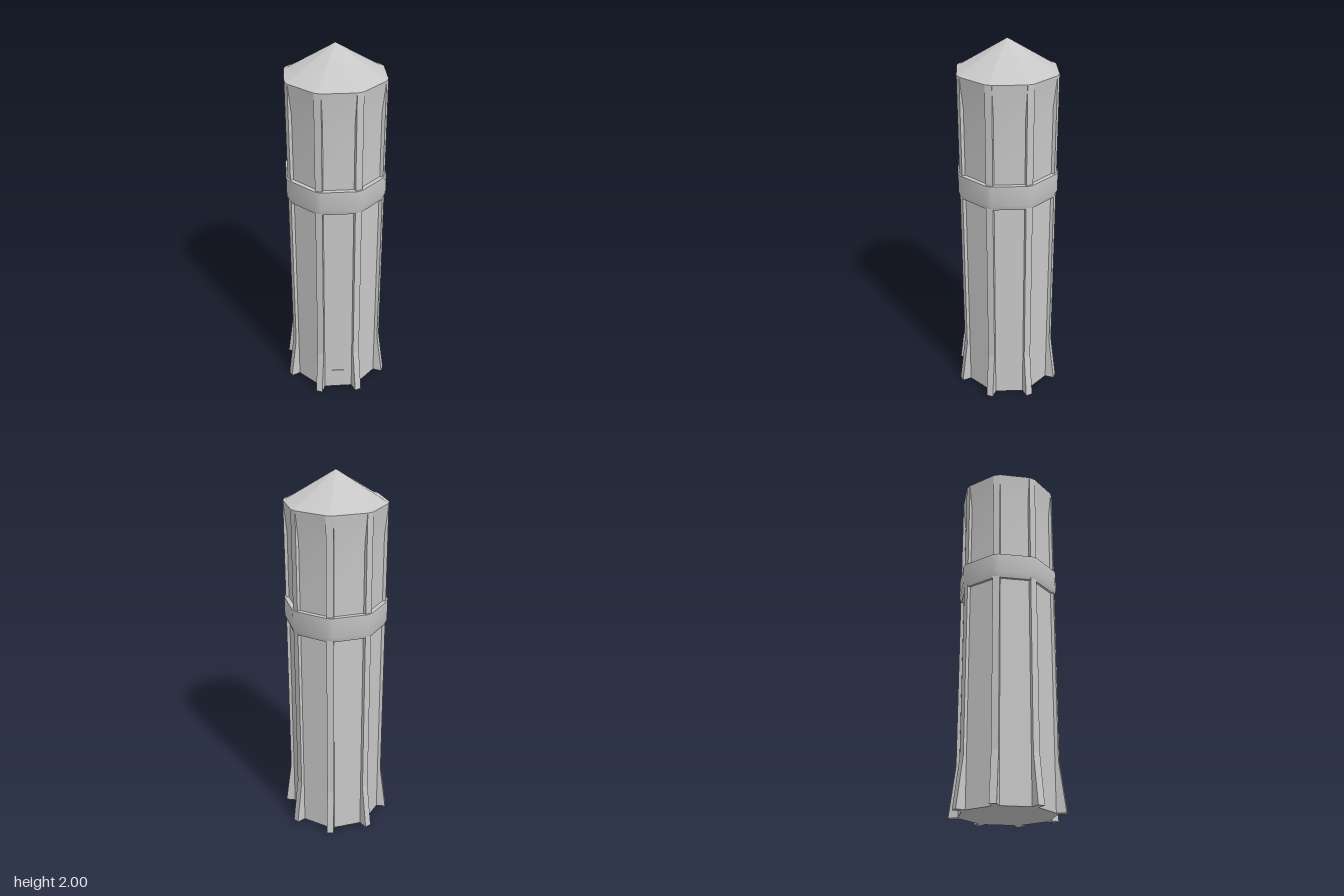
import * as THREE from 'three';
import { toCreasedNormals } from 'three/addons/utils/BufferGeometryUtils.js';

const SIDES = 8;
const STEP = (Math.PI * 2) / SIDES;
const FIN_WIDTH = 0.037;

// Octagon with cut corners: distance to the flats, half width of a flat, height
function ring(apothem, half, y) {
  const points = [];
  for (let i = 0; i < SIDES; i++) {
    const s = Math.sin(i * STEP), c = Math.cos(i * STEP);
    for (const w of [-half, half]) {
      points.push([apothem * s + w * c, y, apothem * c - w * s]);
    }
  }
  return points;
}

// Skin a stack of rings, listed from bottom to top
function loft(sections, crease) {
  const rings = sections.map((s) => ring(...s));
  const positions = [];
  for (let r = 0; r < rings.length - 1; r++) {
    const low = rings[r], high = rings[r + 1];
    for (let i = 0; i < low.length; i++) {
      const j = (i + 1) % low.length;
      positions.push(...low[i], ...low[j], ...high[j]);
      positions.push(...low[i], ...high[j], ...high[i]);
    }
  }
  const geometry = new THREE.BufferGeometry();
  geometry.setAttribute('position', new THREE.Float32BufferAttribute(positions, 3));
  return toCreasedNormals(geometry, crease);
}

export function createModel() {
  const tower = new THREE.Group();
  tower.name = 'tower';
  const concrete = new THREE.MeshStandardMaterial({ color: 0xc8c8c8 });
  concrete.name = 'concrete grey';

  const add = (name, geometry, parent = tower) => {
    const mesh = new THREE.Mesh(geometry, concrete);
    mesh.name = name;
    parent.add(mesh);
    return mesh;
  };

  // Straight shaft with a closed base
  add('shaft', loft([
    [0, 0, 0], [0.234, 0.088, 0], [0.234, 0.088, 1.25],
  ], 0.3));

  // Upper wall, flaring out until flush with the fins
  add('upperWall', loft([
    [0.234, 0.088, 1.25], [0.234, 0.088, 1.68], [0.25, 0.084, 1.843],
  ], 0.3));

  // Collar around the tower
  add('collar', loft([
    [0.225, 0.085, 1.19], [0.246, 0.086, 1.19], [0.257, 0.09, 1.22],
    [0.257, 0.09, 1.325], [0.225, 0.085, 1.325],
  ], 0.6));

  // Pointed roof with a narrow ledge
  add('roof', loft([
    [0.25, 0.084, 1.843], [0.234, 0.092, 1.845], [0, 0, 2],
  ], 0.7));

  // Corner fins with flared feet
  const profile = new THREE.Shape([
    [0.22, 0], [0.297, 0], [0.263, 0.26], [0.263, 1.842], [0.22, 1.842],
  ].map(([x, y]) => new THREE.Vector2(x, y)));
  const finGeometry = new THREE.ExtrudeGeometry(profile, { depth: FIN_WIDTH, bevelEnabled: false });
  finGeometry.translate(0, 0, -FIN_WIDTH / 2);
  const fins = new THREE.Group();
  fins.name = 'cornerFins';
  tower.add(fins);
  for (let i = 0; i < SIDES; i++) {
    add('cornerFin', finGeometry, fins).rotation.y = (i + 0.5) * STEP;
  }

  // Small door on the front
  const door = add('door', new THREE.BoxGeometry(0.07, 0.11, 0.008));
  door.position.set(0, 0.07, 0.234);

  return tower;
}
